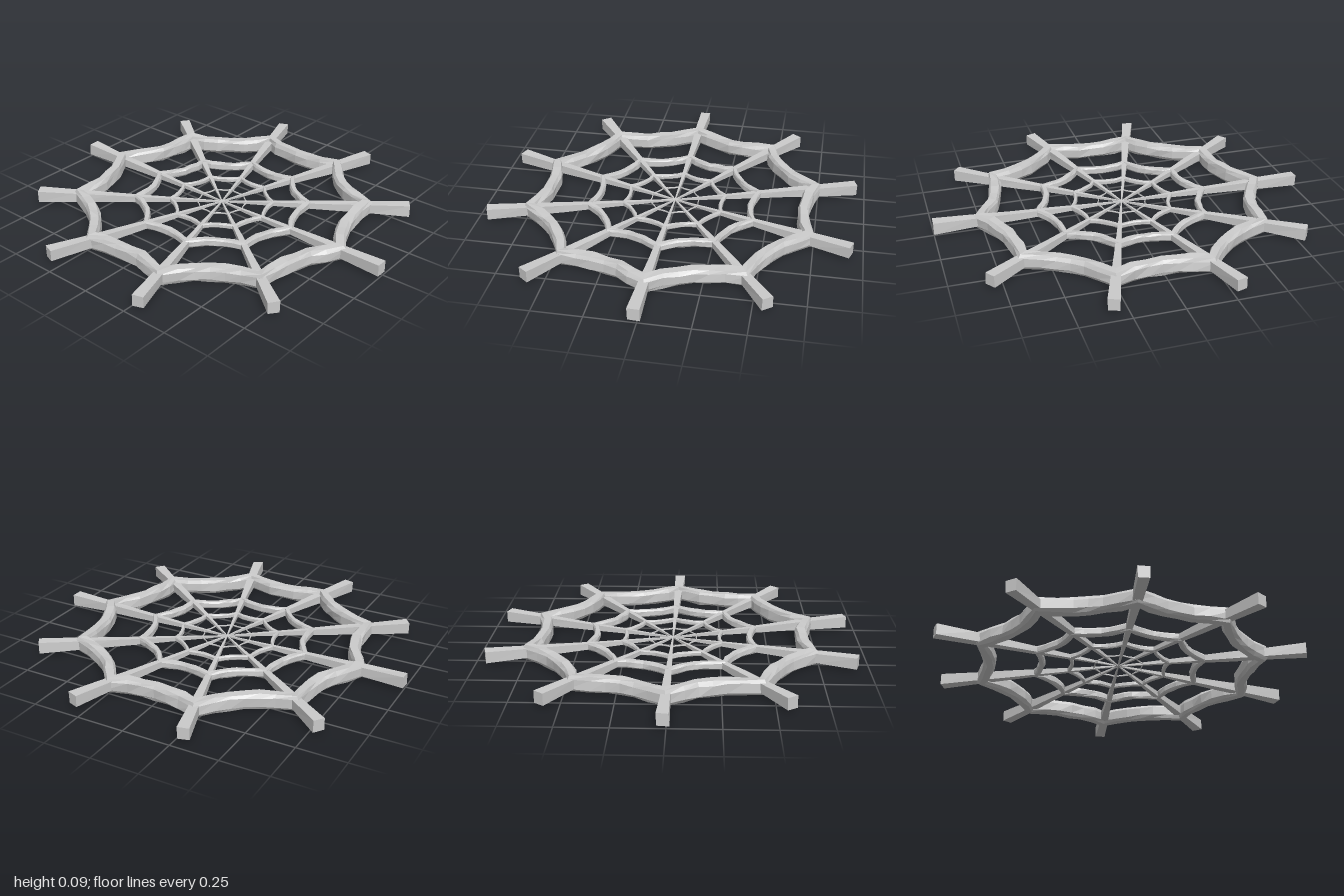
import * as THREE from 'three';

const SPOKES = 10;
const STEP = (Math.PI * 2) / SPOKES;
const TURN = -0.015; // slight twist of the whole web
const MID_Y = 0.056;

const material = new THREE.MeshStandardMaterial({ color: 0xcccccc, flatShading: true, side: THREE.DoubleSide });

// Repeatable jitter in -1..1
const jitter = (a, b, c = 0) => {
  const s = Math.sin(a * 12.9898 + b * 78.233 + c * 37.719) * 43758.5453;
  return (s - Math.floor(s)) * 2 - 1;
};

// Rough-hewn beam section: (outward, up), counter-clockwise
const SECTION = [[1, -0.6], [1, 0.55], [0.65, 1], [-0.65, 1], [-1, 0.55], [-1, -0.6], [-0.6, -1], [0.6, -1]];

// Closed strand sagging inwards between the spokes
function strandGeometry(radius, sag, width, height, seed, segments) {
  const count = SPOKES * segments;
  const path = [];
  for (let i = 0; i < count; i++) {
    const k = Math.floor(i / segments);
    const u = (i % segments) / segments;
    const corner = (n) => {
      const a = n * STEP + TURN;
      return new THREE.Vector3(Math.cos(a) * radius, 0, -Math.sin(a) * radius);
    };
    const p = corner(k).lerp(corner(k + 1), u);
    const dip = u === 0 ? 0 : sag * Math.pow(Math.sin(Math.PI * u), 0.75);
    const r = p.length();
    p.multiplyScalar((r - dip + jitter(i, seed) * width * 0.09) / r);
    path.push(p);
  }
  const positions = [];
  const index = [];
  const n = SECTION.length;
  path.forEach((p, i) => {
    const along = path[(i + 1) % count].clone().sub(path[(i + count - 1) % count]).normalize();
    const out = new THREE.Vector3(-along.z, 0, along.x);
    SECTION.forEach(([a, b], j) => {
      const w = (a + jitter(i, j, seed) * 0.13) * width / 2;
      const h = (b + jitter(i, j, seed + 5) * 0.1) * height / 2;
      positions.push(p.x + out.x * w, MID_Y + h, p.z + out.z * w);
      const next = ((i + 1) % count) * n;
      const j2 = (j + 1) % n;
      index.push(i * n + j, next + j, next + j2, i * n + j, next + j2, i * n + j2);
    });
  });
  const geometry = new THREE.BufferGeometry();
  geometry.setAttribute('position', new THREE.Float32BufferAttribute(positions, 3));
  geometry.setIndex(index);
  const flat = geometry.toNonIndexed();
  flat.computeVertexNormals();
  return flat;
}

// Square beam widening from the hub to its tip
function spokeGeometry(length, seed) {
  const geometry = new THREE.BoxGeometry(length, 1, 1, 5, 1, 1);
  const pos = geometry.attributes.position;
  for (let i = 0; i < pos.count; i++) {
    const x = pos.getX(i) + length / 2;
    const y = pos.getY(i);
    const z = pos.getZ(i);
    const ring = Math.round(x * 5);
    const corner = (y > 0 ? 1 : 0) + (z > 0 ? 2 : 0);
    const size = 0.006 + 0.052 * x;
    const rough = 1 + 0.07 * jitter(ring, corner, seed);
    pos.setXYZ(i, x, MID_Y + y * size * 1.06 * rough, z * size * rough);
  }
  const flat = geometry.toNonIndexed();
  flat.computeVertexNormals();
  return flat;
}

export function createModel() {
  const web = new THREE.Group();
  web.name = 'spiderWeb';

  // Radial spokes
  const spokes = new THREE.Group();
  spokes.name = 'spokes';
  for (let i = 0; i < SPOKES; i++) {
    const spoke = new THREE.Mesh(spokeGeometry(i % 5 === 0 ? 1 : 0.992, i + 1), material);
    spoke.name = `spoke${i + 1}`;
    spoke.rotation.y = i * STEP + TURN;
    spokes.add(spoke);
  }
  web.add(spokes);

  // Rings from the thick rim to the fine thread at the hub
  const rings = [
    ['outerRing', 0.765, 0.045, 0.062, 0.08, 6],
    ['middleRing', 0.46, 0.03, 0.031, 0.042, 6],
    ['innerRing', 0.275, 0.015, 0.018, 0.025, 4],
    ['hubRing', 0.138, 0.007, 0.005, 0.008, 4],
  ];
  rings.forEach(([name, radius, sag, width, height, segments], i) => {
    const ring = new THREE.Mesh(strandGeometry(radius, sag, width, height, i + 2, segments), material);
    ring.name = name;
    web.add(ring);
  });

  return web;
}
